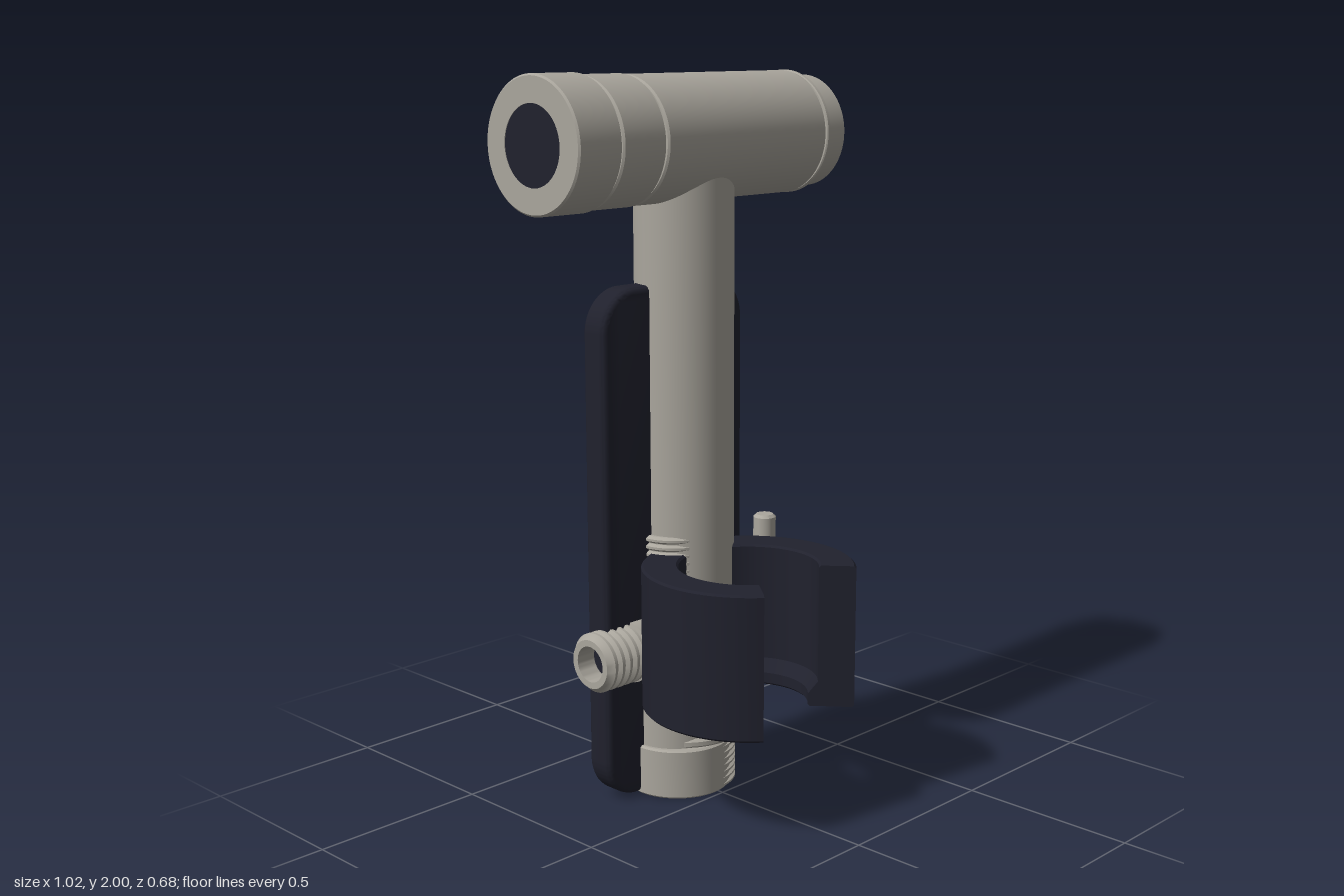
import * as THREE from 'three';
import { toCreasedNormals } from 'three/addons/utils/BufferGeometryUtils.js';

export function createModel() {
  const model = new THREE.Group();
  const metal = new THREE.MeshStandardMaterial({ color: 0xaaa69d });
  metal.name = 'brushed metal';
  const dark = new THREE.MeshStandardMaterial({ color: 0x20212d, side: THREE.DoubleSide });
  dark.name = 'dark plastic';

  const Z = -0.166; // depth of the main axis
  const CX = -0.018; // middle of backplate and cradle

  function add(name, geometry, material, x = 0, y = 0, z = 0) {
    const mesh = new THREE.Mesh(geometry, material);
    mesh.name = name;
    mesh.position.set(x, y, z);
    model.add(mesh);
    return mesh;
  }
  // Turned part: profile of [radius, height], outside running upward
  function turned(profile, segments = 64, start = 0, length = Math.PI * 2) {
    const points = profile.map(([r, h]) => new THREE.Vector2(r, h));
    return toCreasedNormals(new THREE.LatheGeometry(points, segments, start, length), 0.5);
  }
  // Turned part lying along x
  const turnedX = (profile, segments) => turned(profile, segments).rotateZ(-Math.PI / 2);
  // Band with chamfered edges
  const band = (r, a, b, c = 0.005) => [[r - c, a], [r, a + c], [r, b - c], [r - c, b]];
  // Zigzag screw thread
  function thread(r, a, b, count, depth = 0.01) {
    const points = [];
    const p = (b - a) / count;
    for (let i = 0; i < count; i++) {
      const h = a + i * p;
      points.push([r - depth, h], [r, h + p * 0.3], [r, h + p * 0.6], [r - depth, h + p * 0.9]);
    }
    return points;
  }

  // Spray head with its collars and grooves
  add('sprayHead', turnedX([
    [0.105, -0.5], [0.105, -0.51],
    ...band(0.177, -0.51, -0.365), [0.162, -0.365], [0.162, -0.357],
    ...band(0.172, -0.357, -0.207), [0.155, -0.207], [0.155, -0.199],
    ...band(0.17, -0.199, 0.411), [0.162, 0.411], [0.162, 0.415],
    ...band(0.171, 0.415, 0.43, 0.003),
    ...band(0.156, 0.43, 0.508), [0, 0.508],
  ], 80), metal, 0, 1.824, Z);
  add('sprayFace', new THREE.CylinderGeometry(0.106, 0.106, 0.008, 48).rotateZ(Math.PI / 2),
    dark, -0.504, 1.824, Z);

  // Upright tube and the fitting that overlaps it
  add('handleTube', new THREE.CylinderGeometry(0.137, 0.137, 1.67, 64), metal, 0.021, 0.965, Z);
  add('valveTube', turned([[0, 0.13], [0.13, 0.13], [0.13, 0.605], [0.125, 0.61], [0, 0.61]]),
    metal, -0.022, 0, Z);
  add('valveThread', turned([...thread(0.114, 0.6, 0.75, 7), [0, 0.75]]), metal, -0.022, 0, Z);

  // Hollow base: smooth collar merged with a threaded one
  add('baseCollar', turned([
    [0.09, 0.09], [0.09, 0], [0.145, 0], [0.15, 0.005], [0.15, 0.138], [0.144, 0.143], [0, 0.143],
  ]), metal, -0.015, 0, Z + 0.004);
  add('baseThread', turned([
    [0.1, 0.09], [0.1, 0.002], ...thread(0.146, 0.002, 0.135, 7), [0, 0.135],
  ]), metal, 0.01, 0, Z + 0.004);
  add('baseRing', turned([[0, 0.14], ...band(0.152, 0.14, 0.168, 0.008), [0, 0.168]]),
    metal, 0.016, 0, Z + 0.004);

  // Backplate with rounded corners and soft edges
  const bevel = 0.018;
  const w = 0.267 - bevel, bottom = 0.004 + bevel, top = 1.437 - bevel, r = 0.1;
  const outline = new THREE.Shape();
  outline.moveTo(-w + r, bottom);
  outline.lineTo(w - r, bottom);
  outline.absarc(w - r, bottom + r, r, -Math.PI / 2, 0);
  outline.absarc(w - r, top - r, r, 0, Math.PI / 2);
  outline.absarc(-w + r, top - r, r, Math.PI / 2, Math.PI);
  outline.absarc(-w + r, bottom + r, r, Math.PI, Math.PI * 1.5);
  const plate = new THREE.ExtrudeGeometry(outline, {
    depth: 0.083 - 2 * bevel, bevelSize: bevel, bevelThickness: bevel, bevelSegments: 4, curveSegments: 14,
  });
  add('backplate', toCreasedNormals(plate, 0.6), dark, CX, 0, -0.244 + bevel);

  // Open cradle with an inner lip at the bottom
  const section = [
    [0.163, 0.305], [0.168, 0.3], [0.284, 0.3], [0.29, 0.306], [0.29, 0.694], [0.284, 0.7],
    [0.196, 0.7], [0.19, 0.694], [0.19, 0.37], [0.163, 0.335], [0.163, 0.305],
  ];
  const half = THREE.MathUtils.degToRad(39);
  add('cradle', turned(section, 72, half, Math.PI * 2 - 2 * half), dark, CX, 0, 0.115);
  const endShape = new THREE.Shape(section.map(([x, y]) => new THREE.Vector2(x, y)));
  for (const phi of [half, -half]) {
    add('cradleEnd', new THREE.ShapeGeometry(endShape), dark, CX, 0, 0.115)
      .rotation.y = phi - Math.PI / 2;
  }

  // Valve knob, its arm and lever pin
  add('valveArm', turnedX([[0, 0], [0.098, 0], [0.098, 0.29]], 48), metal, 0, 0.428, Z + 0.004);
  add('valveKnob', turnedX([[0, 0.27], ...band(0.123, 0.27, 0.43, 0.004), [0, 0.43]], 56),
    metal, 0, 0.428, Z + 0.004);
  add('leverPin', turned([[0.033, 0.5], [0.033, 0.712], [0.025, 0.72], [0, 0.72]], 32),
    metal, 0.346, 0, Z + 0.004);

  // Threaded hollow outlet on the other side
  add('outlet', turnedX([
    [0, -0.27], [0.05, -0.27], [0.05, -0.345], [0.068, -0.345], [0.074, -0.335],
    ...thread(0.083, -0.335, -0.2, 5), [0.086, -0.2], [0.086, 0],
  ], 48), metal, 0, 0.428, Z);

  return model;
}
